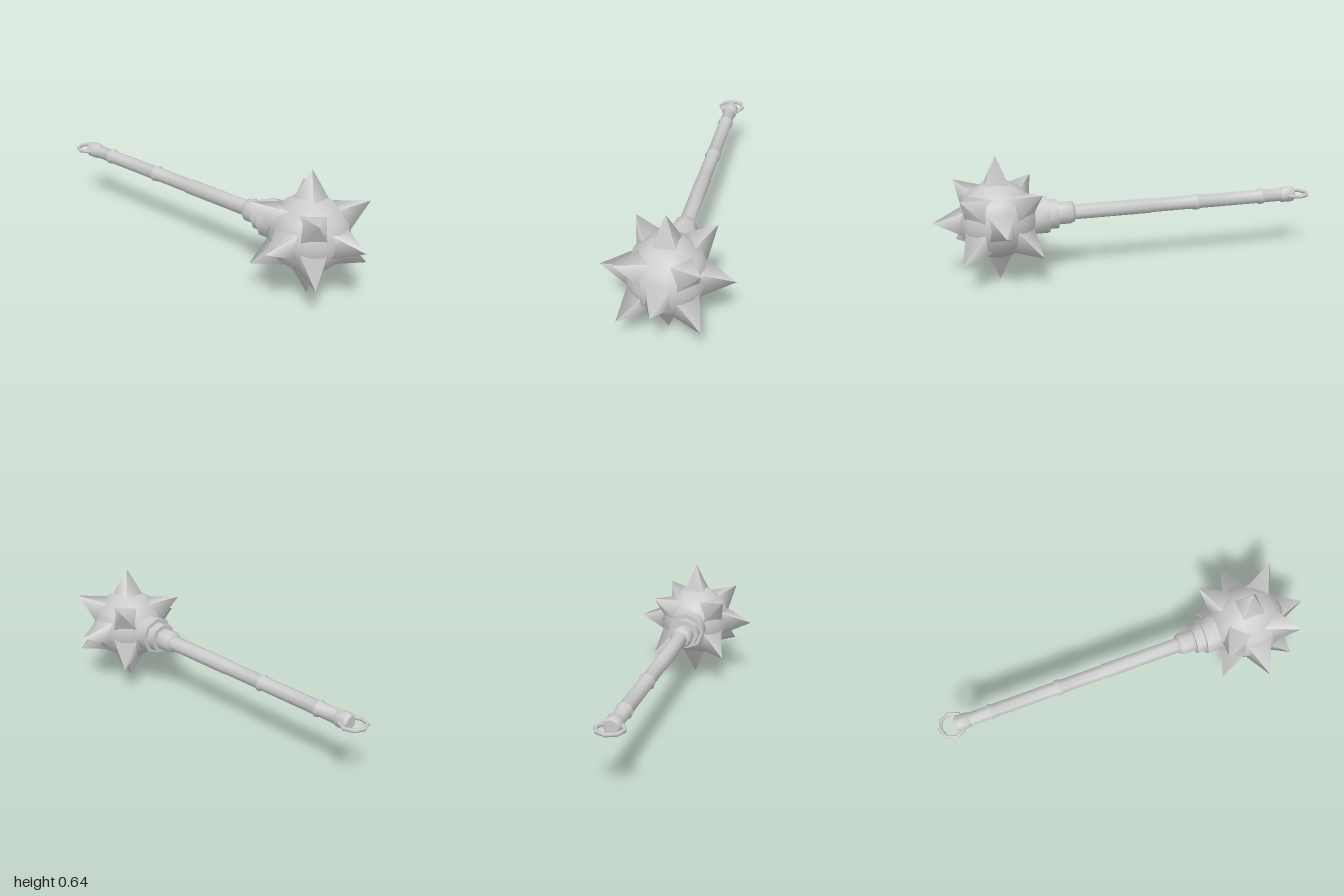
import * as THREE from 'three';
import { toCreasedNormals } from 'three/addons/utils/BufferGeometryUtils.js';

const AXIS_Y = 0.325; // height of the shaft axis
const HEAD_Z = 0.68; // centre of the spiked head

export function createModel() {
  const group = new THREE.Group();
  const material = new THREE.MeshStandardMaterial({ color: 0xcccccc });
  const add = (name, geometry, z, parent = group) => {
    const mesh = new THREE.Mesh(geometry, material);
    mesh.name = name;
    mesh.position.set(0, parent === group ? AXIS_Y : 0, z);
    parent.add(mesh);
    return mesh;
  };
  // Eight-sided turned part along z, from [radius, z] pairs with rising z
  const turned = (name, profile) => {
    const geo = new THREE.LatheGeometry(profile.map(([r, z]) => new THREE.Vector2(r, z)), 8);
    geo.rotateX(Math.PI / 2);
    return add(name, toCreasedNormals(geo, 0.95), 0);
  };

  // Spiked head
  const head = new THREE.Group();
  head.name = 'head';
  head.position.set(0, AXIS_Y, HEAD_Z);
  group.add(head);
  add('ball', new THREE.SphereGeometry(0.196, 10, 10).rotateX(Math.PI / 2), 0, head);

  // Four-sided spike pointing along +z, base sunk into the ball
  const spikeGeo = new THREE.ConeGeometry(0.068 * Math.SQRT2, 0.172, 4)
    .rotateY(Math.PI / 4)
    .rotateX(Math.PI / 2)
    .translate(0, 0, 0.15 + 0.086);
  const addSpike = (elevation, azimuth) => {
    const spike = add('spike', spikeGeo, 0, head);
    spike.rotation.set(-elevation, azimuth, 0, 'YXZ');
  };
  for (const azimuth of [0, Math.PI / 2, -Math.PI / 2]) addSpike(0, azimuth);
  for (const side of [-1, 1]) {
    addSpike(side * Math.PI / 2, 0);
    for (let i = 0; i < 4; i++) addSpike(side * Math.PI / 6, Math.PI / 4 + i * Math.PI / 2);
  }

  // Stepped collars behind the head
  turned('largeCollar', [[0, 0.43], [0.1, 0.43], [0.1, 0.505], [0, 0.53]]);
  turned('middleCollar', [[0, 0.38], [0.08, 0.38], [0.08, 0.44], [0, 0.44]]);
  turned('smallCollar', [[0.04, 0.292], [0.053, 0.297], [0.06, 0.312], [0.06, 0.37], [0.055, 0.385], [0, 0.385]]);

  // Shaft with two raised bands
  turned('shaft', [
    [0, -0.86], [0.036, -0.86], [0.036, -0.74], [0.043, -0.73], [0.043, -0.72], [0.037, -0.705],
    [0.037, -0.38], [0.044, -0.365], [0.044, -0.355], [0.037, -0.335], [0.037, -0.12],
    [0.04, -0.11], [0.04, 0.3], [0, 0.3],
  ]);

  // Pommel and hanging ring
  turned('pommel', [
    [0, -0.912], [0.034, -0.912], [0.043, -0.9], [0.043, -0.85], [0.036, -0.835], [0, -0.835],
  ]);
  add('hangingRing', new THREE.TorusGeometry(0.065, 0.01, 6, 8).rotateX(Math.PI / 2), -0.925);

  return group;
}
